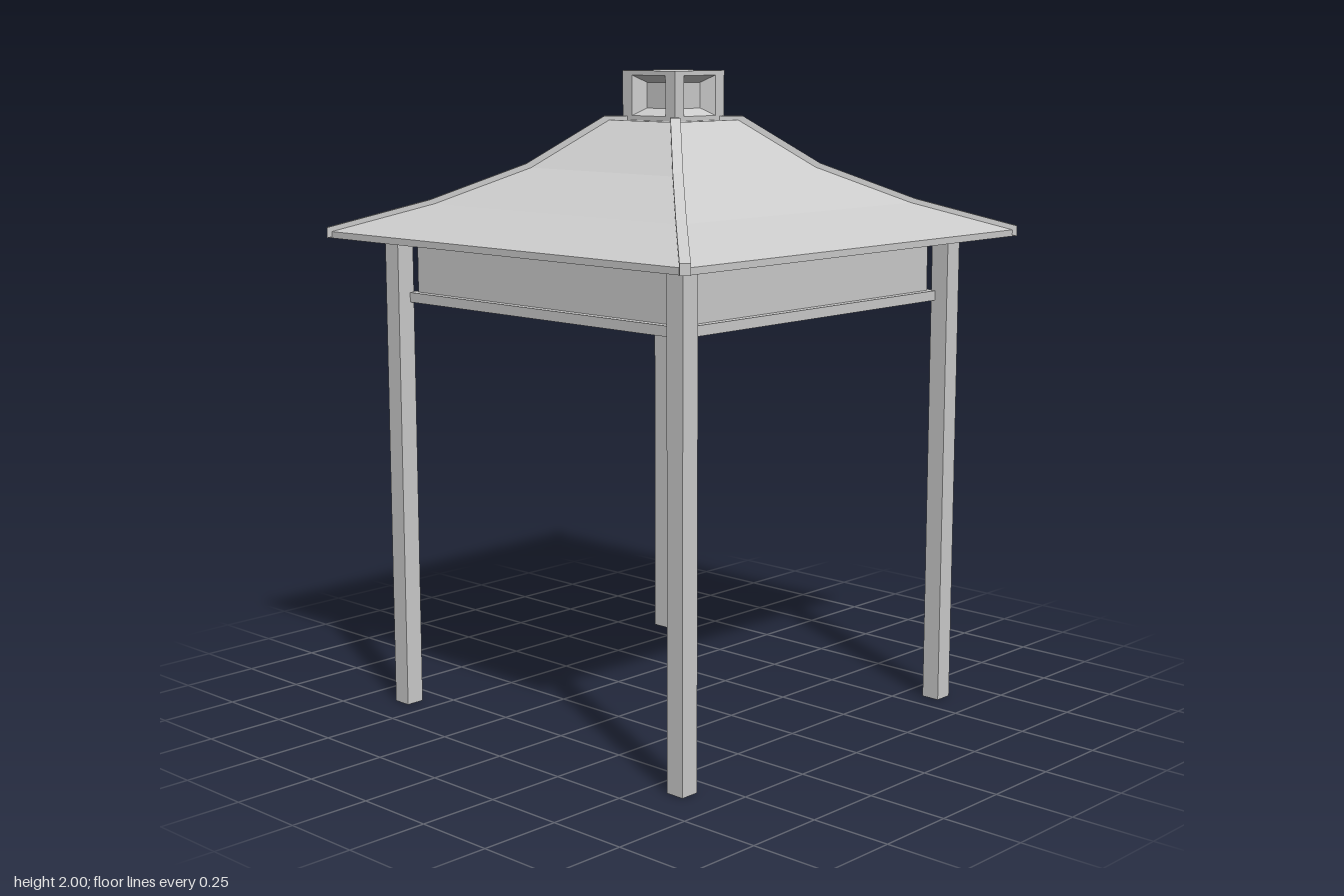
import * as THREE from 'three';

const material = new THREE.MeshStandardMaterial({ color: 0xcccccc, flatShading: true });

// Skins a row of four-cornered sections, closing the end and optionally the start
function loft(sections, closeStart = true) {
  const pos = [];
  const quad = (a, b, c, d) => pos.push(...a, ...b, ...c, ...a, ...c, ...d);
  for (let i = 0; i < sections.length - 1; i++) {
    const s = sections[i], t = sections[i + 1];
    for (let j = 0; j < 4; j++) {
      const k = (j + 1) % 4;
      quad(s[j], s[k], t[k], t[j]);
    }
  }
  const first = sections[0], last = sections[sections.length - 1];
  if (closeStart) quad(first[3], first[2], first[1], first[0]);
  quad(...last);
  const geometry = new THREE.BufferGeometry();
  geometry.setAttribute('position', new THREE.Float32BufferAttribute(pos, 3));
  geometry.computeVertexNormals();
  return geometry;
}

// Rectangle section facing +z
const rect = (w, h, z) => [[-w, -h, z], [w, -h, z], [w, h, z], [-w, h, z]];

export function createModel() {
  const model = new THREE.Group();
  const add = (name, geometry, x = 0, y = 0, z = 0, parent = model) => {
    const mesh = new THREE.Mesh(geometry, material);
    mesh.name = name;
    mesh.position.set(x, y, z);
    parent.add(mesh);
    return mesh;
  };

  // Posts
  for (const x of [-0.6, 0.6]) {
    for (const z of [-0.6, 0.6]) {
      add('post', new THREE.BoxGeometry(0.06, 1.49, 0.06), x, 0.745, z);
    }
  }

  // Ceiling box with a projecting lower trim
  add('ceilingBox', new THREE.BoxGeometry(1.12, 0.18, 1.12), 0, 1.405, 0);
  add('ceilingTrim', new THREE.BoxGeometry(1.17, 0.03, 1.17), 0, 1.305, 0);

  // Hipped roof with concave slopes: [half width, height]
  const slope = [[0.755, 1.51], [0.53, 1.595], [0.32, 1.705], [0.15, 1.85]];
  const roof = [[0.755, 1.49], ...slope].map(([r, y]) => rect(r, r, y));
  add('roof', loft(roof).rotateX(-Math.PI / 2));

  // Hip ridges following the four roof corners
  const t = 0.015;
  const ridge = [[0.1, 1.85], ...slope.slice().reverse()].map(([r, y]) => {
    const u = r * Math.SQRT2, low = y - 0.02, high = y + 0.012;
    return [[u, low, -t], [u, high, -t], [u, high, t], [u, low, t]];
  });
  for (let i = 0; i < 4; i++) {
    add('hipRidge', loft(ridge)).rotation.y = Math.PI / 4 + i * Math.PI / 2;
  }

  // Cupola: four walls with splayed window recesses under a flat top
  const cupola = new THREE.Group();
  cupola.name = 'cupola';
  cupola.position.y = 1.925;
  model.add(cupola);
  const wall = loft([
    rect(0.11, 0.075, 0.11), rect(0.07, 0.061, 0.11), rect(0.045, 0.039, 0.07),
  ], false);
  for (let i = 0; i < 4; i++) {
    add('cupolaWindowWall', wall, 0, 0, 0, cupola).rotation.y = i * Math.PI / 2;
  }
  add('cupolaTop', new THREE.PlaneGeometry(0.22, 0.22).rotateX(-Math.PI / 2), 0, 0.075, 0, cupola);

  return model;
}
